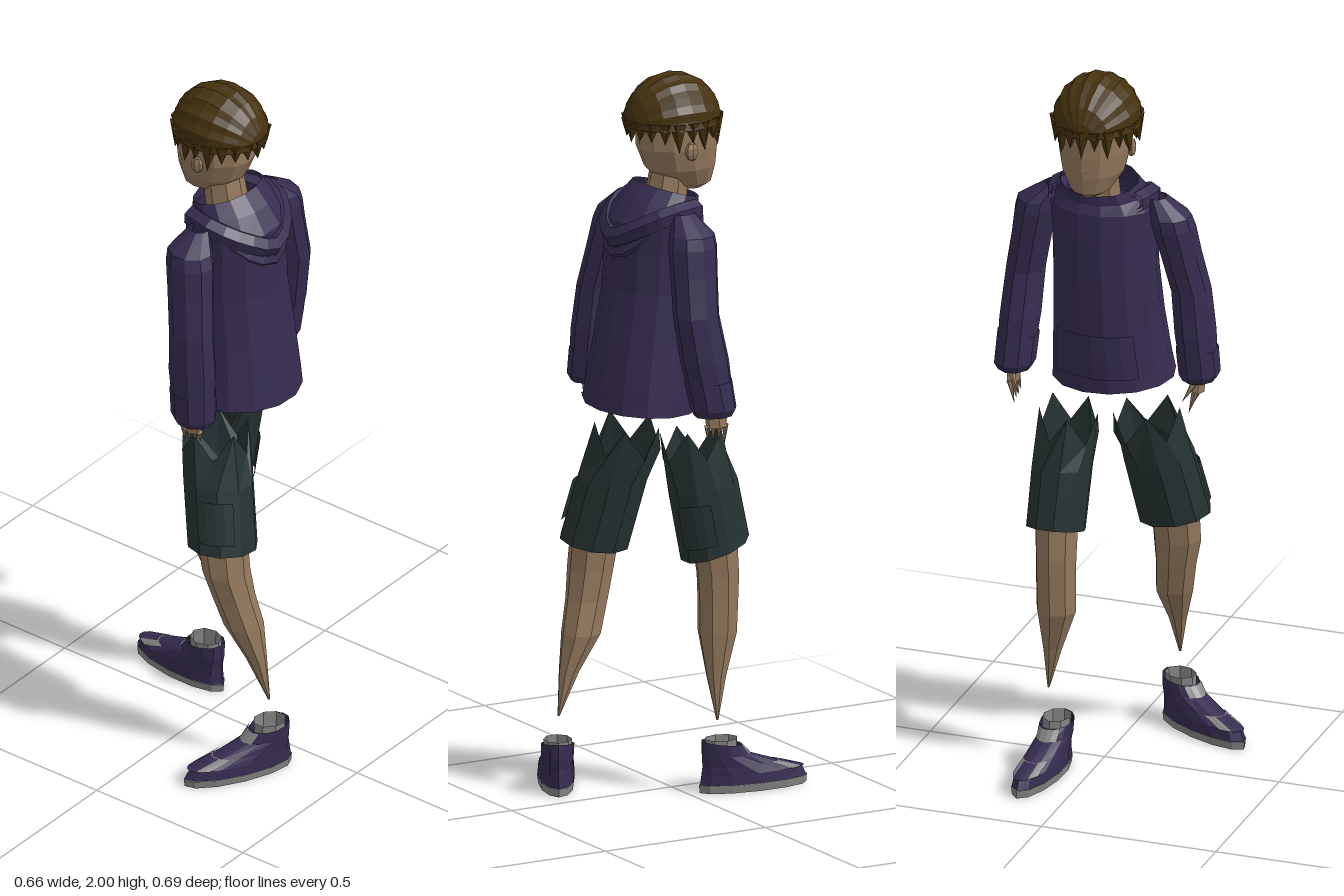
import * as THREE from 'three';

const mat = (name, color) => {
  const m = new THREE.MeshStandardMaterial({ color, flatShading: true, side: THREE.DoubleSide });
  m.name = name;
  return m;
};

// Skin of quads through elliptical rings, listed from low to high:
// [x, y, z, radiusX, radiusZ, slopeX, slopeZ]; jag zigzags the last ring.
function loft(rings, sides, { from = 0, arc = Math.PI * 2, jag = 0, grow = 0 } = {}) {
  const pos = [], index = [], n = sides + 1;
  rings.forEach(([x, y, z, rx, rz, sx = 0, sz = 0], r) => {
    for (let i = 0; i <= sides; i++) {
      const a = from + (arc * i) / sides, c = Math.cos(a), s = Math.sin(a);
      const zig = r === rings.length - 1 ? (i % 2 ? jag : -jag) : 0;
      pos.push(x + (rx + grow) * c, y + sx * c + sz * s + zig, z + (rz + grow) * s);
      if (r && i) {
        const d = r * n + i, c0 = d - 1, b = d - n, a0 = b - 1;
        index.push(a0, c0, b, b, c0, d);
      }
    }
  });
  const g = new THREE.BufferGeometry();
  g.setAttribute('position', new THREE.Float32BufferAttribute(pos, 3));
  g.setIndex(index);
  g.computeVertexNormals();
  return g;
}

export function createModel() {
  const model = new THREE.Group();
  model.name = 'walkingBoy';
  const hairMat = mat('brown hair', 0x46320e);
  const skin = mat('skin', 0x94795d);
  const cloth = mat('purple cloth', 0x362c50);
  const shortsMat = mat('dark green cloth', 0x263232);
  const grey = mat('grey rubber', 0x858585);
  const add = (name, geo, m, parent = model) => {
    const mesh = new THREE.Mesh(geo, m);
    mesh.name = name;
    parent.add(mesh);
    return mesh;
  };
  // Cone running from base point to tip
  const spike = (name, base, tip, r, m, parent = model) => {
    const a = new THREE.Vector3(...base), b = new THREE.Vector3(...tip), d = b.clone().sub(a);
    const mesh = add(name, new THREE.ConeGeometry(r, d.length(), 5), m, parent);
    mesh.position.copy(a).add(b).multiplyScalar(0.5);
    mesh.quaternion.setFromUnitVectors(new THREE.Vector3(0, 1, 0), d.normalize());
  };

  // Head and neck, face towards -z
  add('head', loft([
    [0.025, 1.672, -0.05, 0.02, 0.025],
    [0.025, 1.69, -0.035, 0.055, 0.065],
    [0.025, 1.74, -0.01, 0.085, 0.1],
    [0.025, 1.8, 0, 0.098, 0.114],
    [0.025, 1.88, 0, 0.1, 0.115],
    [0.025, 1.95, 0.01, 0.07, 0.085],
  ], 12), skin);
  add('neck', loft([[0.025, 1.62, 0.04, 0.06, 0.06], [0.025, 1.74, 0.02, 0.055, 0.055]], 8), skin);
  spike('nose', [0.025, 1.76, -0.095], [0.025, 1.81, -0.1], 0.018, skin);
  for (const s of [-1, 1]) {
    const ear = add('ear', new THREE.SphereGeometry(0.024, 6, 5), skin);
    ear.scale.set(0.5, 1.1, 0.8);
    ear.position.set(0.025 + s * 0.1, 1.8, 0.01);
  }

  // Hair cap in ridges running front to back
  const cap = new THREE.SphereGeometry(1, 18, 10, 0, Math.PI);
  cap.rotateX(-Math.PI / 2);
  const p = cap.attributes.position;
  for (let i = 0; i < p.count; i++) {
    const x = p.getX(i), y = p.getY(i), z = p.getZ(i);
    const ridge = 1 + 0.02 * Math.cos(Math.atan2(y, x) * 18);
    p.setXYZ(i, x * 0.12 * ridge, y * 0.135 * ridge, z * 0.138);
  }
  cap.computeVertexNormals();
  add('hairCap', cap, hairMat).position.set(0.025, 1.863, 0.013);

  // Locks along the rim: long curls at the sides, a swept fringe and one long lock at the nape
  for (let i = 0; i < 20; i++) {
    const a = (i / 20) * Math.PI * 2, c = Math.cos(a), s = Math.sin(a);
    const drop = s > 0.99 ? 0.04 : s > 0.6 ? 0.03 : i % 2 ? 0.06 : 0.035;
    spike('hairLock', [0.025 + c * 0.103, 1.88, 0.013 + s * 0.12],
      [0.025 + c * 0.113, 1.86 - drop, 0.013 + s * 0.128], 0.025, hairMat);
  }

  // Hoodie body and front pocket
  const body = [
    [0.01, 1.09, 0.105, 0.17, 0.152, -0.008, 0.005],
    [0.013, 1.15, 0.1, 0.163, 0.15],
    [0.018, 1.28, 0.085, 0.152, 0.145],
    [0.02, 1.42, 0.07, 0.145, 0.135],
    [0.023, 1.54, 0.068, 0.145, 0.132],
    [0.025, 1.61, 0.068, 0.15, 0.125],
    [0.025, 1.65, 0.055, 0.125, 0.1, 0, 0.015],
    [0.027, 1.685, 0.035, 0.11, 0.08, 0, 0.022],
  ];
  add('hoodieBody', loft(body, 14), cloth);
  add('frontPocket', loft([
    [0.013, 1.13, 0.102, 0.166, 0.151],
    [0.016, 1.2, 0.094, 0.159, 0.149],
    [0.018, 1.26, 0.087, 0.154, 0.146],
  ], 6, { from: -Math.PI / 2 - 0.75, arc: 1.5, grow: 0.006 }), cloth);

  // Folded hood lying on the back
  for (const [drop, r] of [[0, 0.03], [0.045, 0.02]]) {
    const path = new THREE.CatmullRomCurve3([
      [-0.085, 1.64, 0], [-0.1, 1.635, 0.09], [-0.045, 1.595 - drop, 0.165], [0.025, 1.565 - drop, 0.19],
      [0.095, 1.595 - drop, 0.165], [0.15, 1.635, 0.09], [0.135, 1.64, 0],
    ].map((v) => new THREE.Vector3(...v)));
    add('hoodFold', new THREE.TubeGeometry(path, 14, r, 6), cloth);
  }

  // Sleeves with cuffs, and hands with fingers
  const arm = (side, w, e, sh) => {
    const g = new THREE.Group();
    g.name = side + 'Arm';
    model.add(g);
    const mix = (a, b, t) => a.map((v, i) => v + (b[i] - v) * t);
    add('sleeve', loft([
      [...mix(w, e, 0.18), 0.052, 0.064],
      [...mix(w, e, 0.5), 0.056, 0.07],
      [...e, 0.054, 0.066],
      [...mix(e, sh, 0.5), 0.055, 0.068],
      [...mix(e, sh, 0.85), 0.059, 0.07],
      [...sh, 0.056, 0.064],
      [sh[0] * 0.78, sh[1] + 0.05, sh[2], 0.025, 0.03],
    ], 9), cloth, g);
    add('cuff', loft([
      [w[0], w[1] - 0.02, w[2], 0.046, 0.055],
      [...w, 0.057, 0.066],
      [...mix(w, e, 0.3), 0.058, 0.068],
    ], 9), cloth, g);
    const [x, y, z] = w;
    add('palm', loft([[x, y - 0.055, z - 0.01, 0.018, 0.032], [x, y, z, 0.022, 0.028]], 6), skin, g);
    for (let i = 0; i < 4; i++) {
      const fz = z - 0.035 + i * 0.018;
      spike('finger', [x, y - 0.05, fz], [x - Math.sign(x) * 0.015, y - 0.11 + i * 0.006, fz - 0.008], 0.01, skin, g);
    }
    spike('thumb', [x, y - 0.02, z - 0.03], [x - Math.sign(x) * 0.03, y - 0.075, z - 0.055], 0.011, skin, g);
  };
  arm('left', [0.267, 1.12, 0.025], [0.252, 1.38, 0.07], [0.213, 1.595, 0.06]);
  arm('right', [-0.228, 1.12, 0.12], [-0.212, 1.37, 0.1], [-0.168, 1.595, 0.06]);

  // Shorts, bare legs tapering to the ankle, and side pockets
  const leg = (side, shorts, shin, out) => {
    const g = new THREE.Group();
    g.name = side + 'Leg';
    model.add(g);
    add('shortsLeg', loft(shorts, 10, { jag: 0.04 }), shortsMat, g);
    const pocket = [0.2, 0.85].map((t) => shorts[0].map((v, k) => v + (shorts[1][k] - v) * t));
    add('sidePocket', loft(pocket, 4, { from: out - 0.5, arc: 1, grow: 0.006 }), shortsMat, g);
    add('bareLeg', loft(shin, 8), skin, g);
  };
  leg('left', [
    [0.115, 0.685, -0.068, 0.08, 0.097, 0, -0.03],
    [0.108, 0.86, -0.035, 0.083, 0.098, 0, -0.015],
    [0.1, 0.98, -0.005, 0.082, 0.09, 0.01, 0],
  ], [
    [0.138, 0.21, -0.062, 0.003, 0.003],
    [0.125, 0.33, -0.066, 0.027, 0.028],
    [0.11, 0.45, -0.078, 0.056, 0.054],
    [0.11, 0.53, -0.08, 0.057, 0.056],
    [0.11, 0.61, -0.08, 0.058, 0.06],
    [0.113, 0.72, -0.065, 0.062, 0.068],
  ], 0.8);
  leg('right', [
    [-0.147, 0.675, 0.155, 0.1, 0.095, -0.015, 0.005],
    [-0.115, 0.86, 0.115, 0.098, 0.098, -0.01, 0],
    [-0.09, 0.97, 0.085, 0.095, 0.09, -0.01, 0],
  ], [
    [-0.113, 0.21, 0.287, 0.003, 0.003],
    [-0.12, 0.33, 0.25, 0.026, 0.03],
    [-0.125, 0.43, 0.21, 0.053, 0.056],
    [-0.138, 0.52, 0.185, 0.058, 0.059],
    [-0.148, 0.6, 0.168, 0.068, 0.062],
    [-0.147, 0.72, 0.15, 0.07, 0.07],
  ], 2.6);

  // Shoes, each built with its heel at the origin and toe towards -z
  const shoe = (side, x, z, turn) => {
    const g = new THREE.Group();
    g.name = side + 'Shoe';
    g.position.set(x, 0, z);
    g.rotation.y = turn;
    model.add(g);
    add('sole', loft([
      [0, 0, -0.16, 0.002, 0.01],
      [0, 0, -0.16, 0.048, 0.158],
      [0, 0.022, -0.16, 0.051, 0.16],
    ], 12), grey, g);
    const upper = [
      [0, 0.022, -0.16, 0.05, 0.157],
      [0, 0.05, -0.155, 0.049, 0.148],
      [0, 0.072, -0.12, 0.046, 0.11],
      [0, 0.1, -0.078, 0.044, 0.069],
      [0, 0.135, -0.066, 0.045, 0.056, 0, 0.008],
    ];
    add('upper', loft(upper, 12), cloth, g);
    // Grey toe with a purple strip along its middle, and a grey tongue and lining
    add('toePatch', loft(upper.slice(1, 3), 6, { from: -Math.PI / 2 - 0.8, arc: 1.6, grow: 0.003 }), grey, g);
    add('toeStrip', loft(upper.slice(1, 3), 3, { from: -Math.PI / 2 - 0.4, arc: 0.8, grow: 0.006 }), cloth, g);
    add('tongue', loft(upper.slice(3), 4, { from: -Math.PI / 2 - 0.7, arc: 1.4, grow: 0.004 }), grey, g);
    add('lining', loft([[0, 0.08, -0.068, 0.036, 0.045], [0, 0.147, -0.066, 0.039, 0.047]], 8), grey, g);
  };
  shoe('left', 0.095, -0.03, -0.1);
  shoe('right', -0.055, 0.32, 1.09);

  return model;
}
